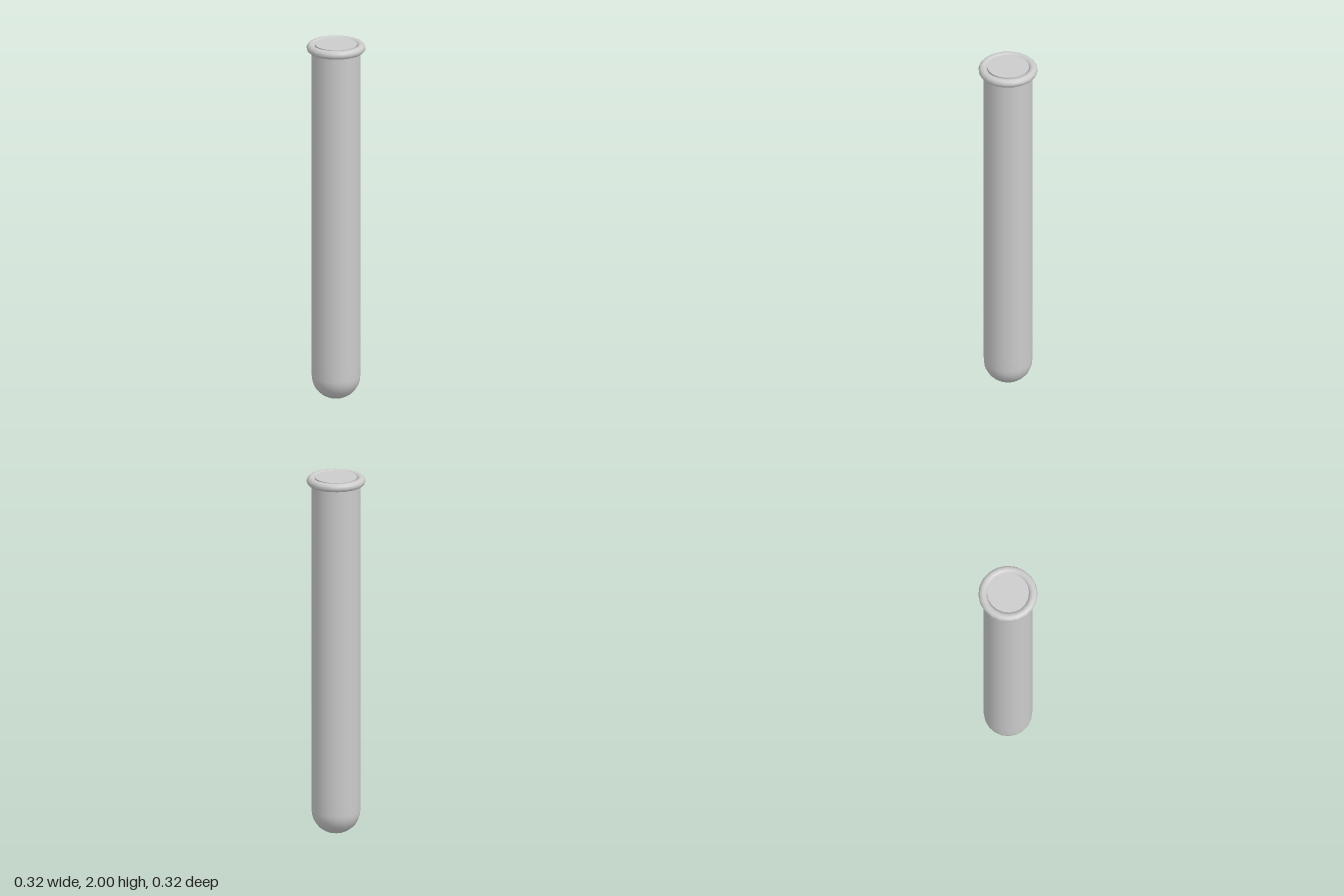
import * as THREE from 'three';

const SIDES = 20;
const material = new THREE.MeshStandardMaterial({ color: 0xcccccc });

// Revolve a profile of [radius, height] pairs, listed from bottom to top
function lathe(name, points) {
  const profile = points.map(([r, y]) => new THREE.Vector2(r, y));
  const mesh = new THREE.Mesh(new THREE.LatheGeometry(profile, SIDES), material);
  mesh.name = name;
  return mesh;
}

export function createModel() {
  const group = new THREE.Group();
  group.name = 'testTube';

  // Rounded bottom running into a long straight wall
  const radius = 0.131, domeHeight = 0.125, steps = 8;
  const body = [];
  for (let i = 0; i <= steps; i++) {
    const a = (i / steps) * Math.PI / 2;
    body.push([radius * Math.sin(a), domeHeight * (1 - Math.cos(a))]);
  }
  body.push([radius, 0.2], [radius, 1.9], [radius, 1.97]);
  group.add(lathe('tubeBody', body));

  // Rolled lip around the mouth
  const lip = new THREE.Mesh(new THREE.TorusGeometry(0.1355, 0.0235, 12, SIDES), material);
  lip.name = 'lip';
  lip.rotation.x = Math.PI / 2;
  lip.position.y = 1.9765;
  group.add(lip);

  // Flat closed top, set just inside the lip
  const cap = new THREE.Mesh(new THREE.CylinderGeometry(0.113, 0.113, 0.026, SIDES), material);
  cap.name = 'mouthCap';
  cap.position.y = 1.984;
  group.add(cap);

  return group;
}
